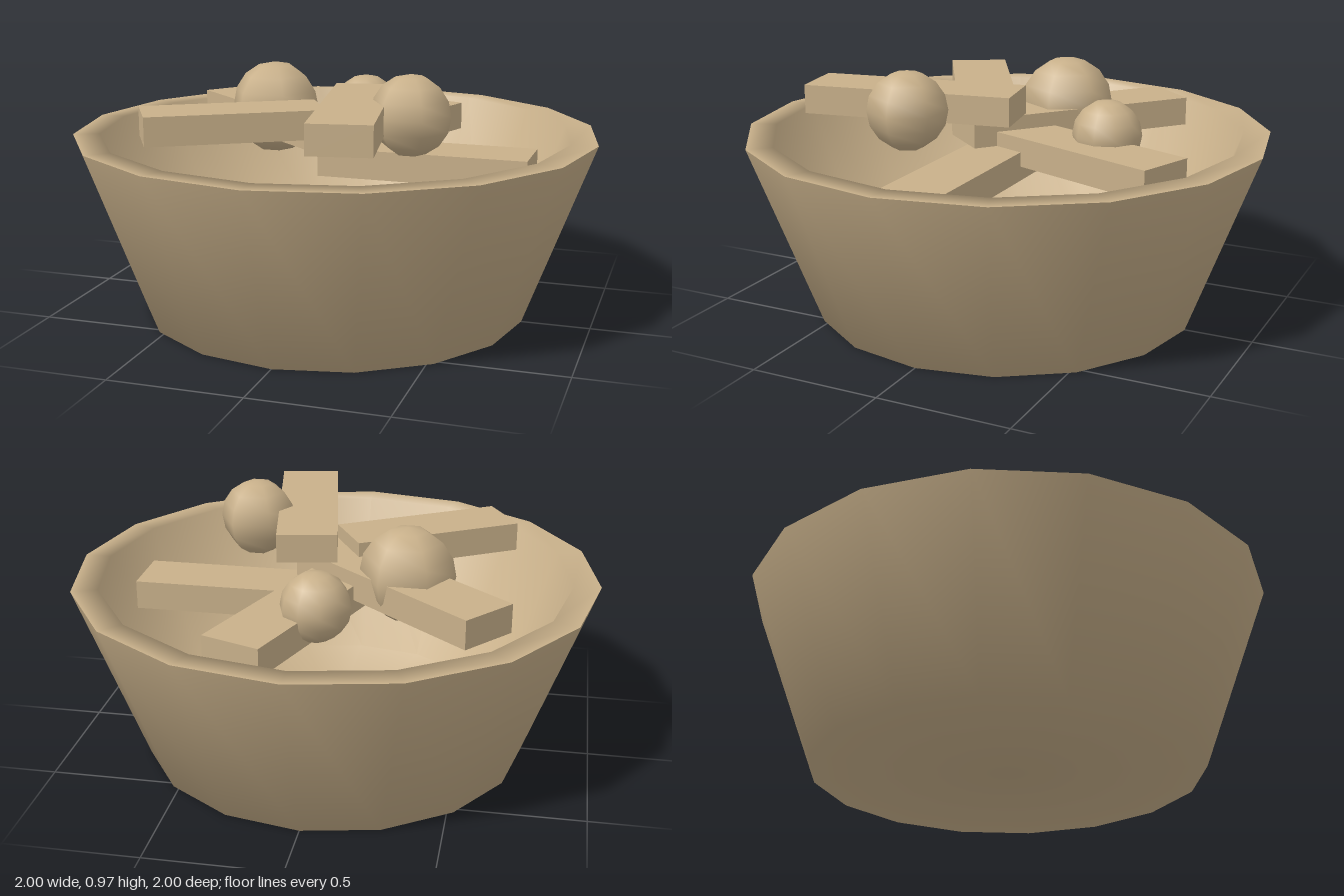
import * as THREE from 'three';

const material = new THREE.MeshStandardMaterial({ color: 0xc8b08a, side: THREE.DoubleSide });

function addMesh(parent, name, geometry, x = 0, y = 0, z = 0) {
  const mesh = new THREE.Mesh(geometry, material);
  mesh.name = name;
  mesh.position.set(x, y, z);
  parent.add(mesh);
  return mesh;
}

function lathe(points) {
  return new THREE.LatheGeometry(points.map(([r, y]) => new THREE.Vector2(r, y)), 16);
}

export function createModel() {
  const model = new THREE.Group();
  model.name = 'filledBowl';

  // Bowl: two lathes keep the outer rim edge sharp while the rest stays smooth
  const bowl = new THREE.Group();
  bowl.name = 'bowl';
  model.add(bowl);
  addMesh(bowl, 'bowlOutside', lathe([[0, 0], [0.74, 0], [1, 0.7]]));
  addMesh(bowl, 'bowlInside', lathe([[1, 0.7], [0.9, 0.7], [0.66, 0.09], [0, 0.09]]));

  // Flat sticks fanned around the centre, each one a step higher than the last
  const sticks = new THREE.Group();
  sticks.name = 'sticks';
  model.add(sticks);
  const thickness = 0.11;
  const stickData = [
    // angle from +x towards +z, outer end x, outer end z, length
    [0, 0.76, -0.005, 0.8],
    [290, 0.235, -0.725, 0.78],
    [220, -0.615, -0.445, 0.92],
    [150, -0.61, 0.44, 0.67],
    [80, 0.235, 0.71, 0.81],
  ];
  stickData.forEach(([degrees, endX, endZ, length], i) => {
    const a = THREE.MathUtils.degToRad(degrees);
    const stick = addMesh(
      sticks, 'stick', new THREE.BoxGeometry(length, thickness, 0.23),
      endX - Math.cos(a) * length / 2,
      0.595 + i * 0.055,
      endZ - Math.sin(a) * length / 2,
    );
    stick.rotation.y = -a;
  });

  // Balls resting among the sticks
  const balls = new THREE.Group();
  balls.name = 'balls';
  model.add(balls);
  const ballData = [
    // radius, x, y, z, sides
    [0.18, -0.29, 0.755, -0.12, 6],
    [0.15, 0.355, 0.82, 0.235, 6],
    [0.13, 0, 0.722, -0.41, 10],
  ];
  for (const [radius, x, y, z, sides] of ballData) {
    addMesh(balls, 'ball', new THREE.SphereGeometry(radius, sides, 8), x, y, z);
  }

  return model;
}
